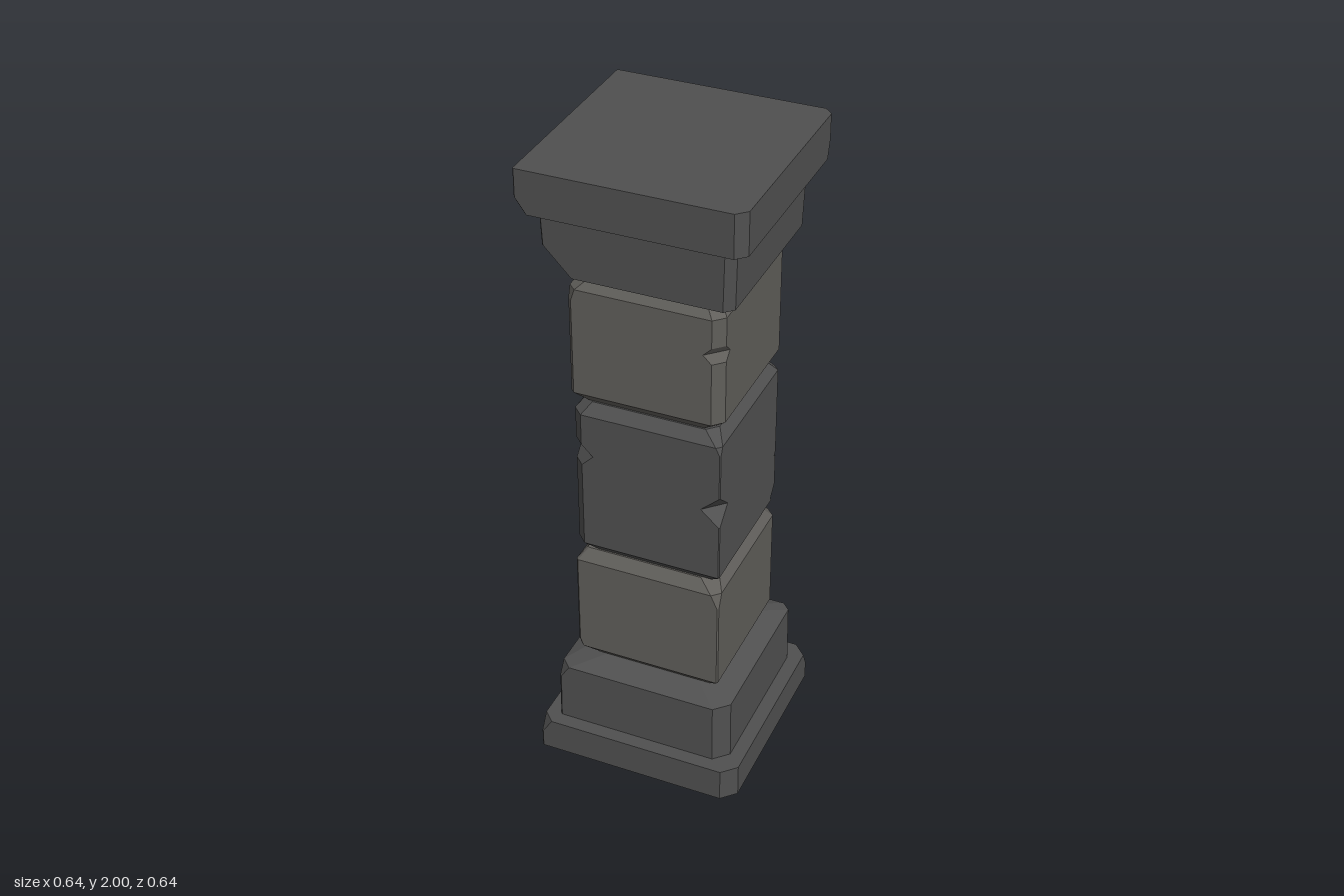
import * as THREE from 'three';

const DARK = 0x505050, LIGHT = 0x605e5a;

// Corner order, counter-clockwise from above
const CORNERS = [[1, 1], [1, -1], [-1, -1], [-1, 1]];

// Half width at height y along a profile of [y, halfWidth] rows
function widthAt(profile, y) {
  for (let i = 1; i < profile.length; i++) {
    const [y0, w0] = profile[i - 1], [y1, w1] = profile[i];
    if (y <= y1) return w0 + (w1 - w0) * (y - y0) / (y1 - y0);
  }
  return profile[profile.length - 1][1];
}

// A square stone with cut corners.
// chamfers: cut size per corner; chips: [corner, y, halfHeight, cutAlongX, cutAlongZ]
function stone(name, color, profile, chamfers, chips = []) {
  const bottom = profile[0][0], top = profile[profile.length - 1][0];
  const heights = profile.map(r => r[0]);
  for (const [, y, h] of chips) heights.push(y - h, y, y + h);
  const levels = [...new Set(heights.map(y => +y.toFixed(4)))]
    .filter(y => y >= bottom && y <= top).sort((a, b) => a - b);

  // Eight-point cross-section at every level
  const rings = levels.map(y => {
    const w = widthAt(profile, y), ring = [];
    CORNERS.forEach(([sx, sz], k) => {
      let a = chamfers[k], b = chamfers[k];
      for (const [corner, cy, h, ca, cb] of chips) {
        if (corner !== k) continue;
        const t = Math.max(0, 1 - Math.abs(y - cy) / h);
        a = Math.max(a, chamfers[k] + (ca - chamfers[k]) * t);
        b = Math.max(b, chamfers[k] + (cb - chamfers[k]) * t);
      }
      const onX = [sx * w, y, sz * (w - b)], onZ = [sx * (w - a), y, sz * w];
      ring.push(...(k % 2 ? [onX, onZ] : [onZ, onX]));
    });
    return ring;
  });

  const pos = [];
  const tri = (p, q, r) => pos.push(...p, ...q, ...r);
  for (let j = 0; j + 1 < rings.length; j++) {
    const lo = rings[j], hi = rings[j + 1];
    for (let i = 0; i < 8; i++) {
      const n = (i + 1) % 8;
      tri(lo[i], lo[n], hi[n]);
      tri(lo[i], hi[n], hi[i]);
    }
  }
  const first = rings[0], last = rings[rings.length - 1];
  for (let i = 1; i < 7; i++) {
    tri(last[0], last[i], last[i + 1]);
    tri(first[0], first[i + 1], first[i]);
  }
  const geo = new THREE.BufferGeometry();
  geo.setAttribute('position', new THREE.Float32BufferAttribute(pos, 3));
  geo.computeVertexNormals();
  const mesh = new THREE.Mesh(geo, new THREE.MeshStandardMaterial({ color, flatShading: true }));
  mesh.name = name;
  return mesh;
}

// Shaft block profile: bevelled at both ends
const shaft = (y0, y1) => [[y0, 0.195], [y0 + 0.035, 0.226], [y1 - 0.035, 0.226], [y1, 0.2]];

export function createModel() {
  const group = new THREE.Group();
  group.name = 'stonePillar';
  group.add(
    // Base
    stone('plinth', DARK, [[0, 0.318], [0.108, 0.318]], [0.042, 0.015, 0.003, 0.004],
      [[3, 0.108, 0.05, 0.035, 0.035], [1, 0.108, 0.05, 0.04, 0.04]]),
    stone('baseBlock', DARK, [[0.108, 0.274], [0.305, 0.272], [0.333, 0.2]], [0.042, 0.025, 0.003, 0.006],
      [[3, 0.333, 0.07, 0.05, 0.05]]),
    // Shaft
    stone('lowerShaftBlock', LIGHT, shaft(0.333, 0.73), [0.004, 0.025, 0.03, 0.006],
      [[0, 0.73, 0.08, 0.04, 0.04], [2, 0.55, 0.035, 0.06, 0.06], [3, 0.333, 0.06, 0.03, 0.03]]),
    stone('middleShaftBlock', DARK, shaft(0.73, 1.25), [0.003, 0.02, 0.003, 0.03],
      [[0, 0.995, 0.05, 0.058, 0.058], [0, 1.25, 0.06, 0.03, 0.03],
        [1, 0.92, 0.008, 0.3, 0.03], [1, 0.775, 0.035, 0.05, 0.05],
        [3, 1.08, 0.035, 0.065, 0.065]]),
    stone('upperShaftBlock', LIGHT, shaft(1.25, 1.652), [0.03, 0.018, 0.03, 0.012],
      [[0, 1.505, 0.025, 0.055, 0.055], [2, 1.44, 0.035, 0.06, 0.06], [3, 1.652, 0.07, 0.035, 0.035]]),
    // Capital
    stone('capitalBlock', DARK, [[1.652, 0.2], [1.677, 0.268], [1.872, 0.274]], [0.025, 0.025, 0.003, 0.004],
      [[3, 1.677, 0.085, 0.08, 0.08]]),
    stone('capSlab', DARK, [[1.872, 0.32], [2, 0.32]], [0.029, 0.024, 0.003, 0.003],
      [[3, 1.872, 0.045, 0.035, 0.035], [1, 1.872, 0.05, 0.04, 0.04]])
  );
  return group;
}
